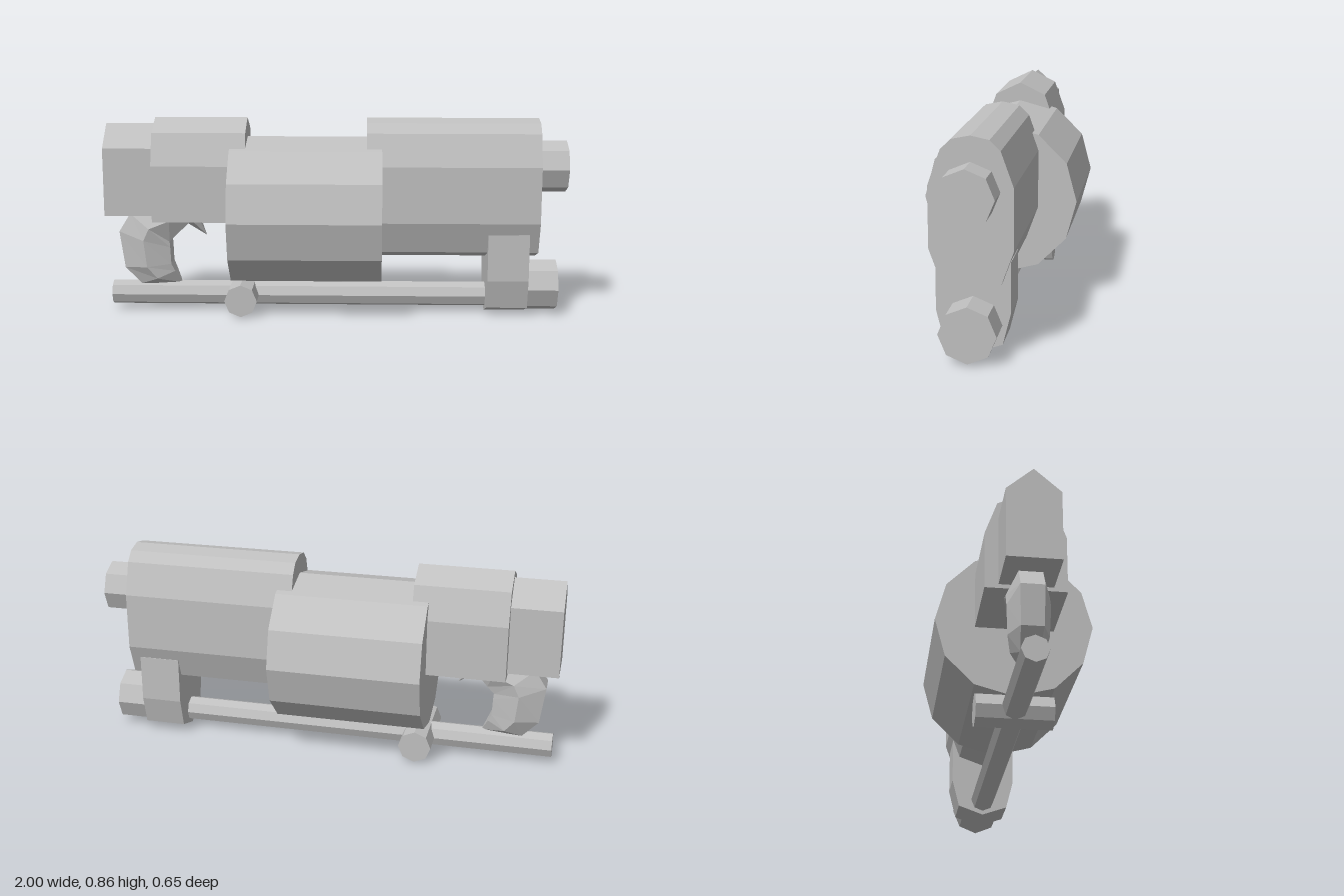
import * as THREE from 'three';

export function createModel() {
  const group = new THREE.Group();
  const grey = new THREE.MeshStandardMaterial({ color: 0xc0c0c0, flatShading: true });
  grey.name = 'grey metal';

  const add = (name, geometry, x = 0, y = 0, z = 0) => {
    const mesh = new THREE.Mesh(geometry, grey);
    mesh.name = name;
    mesh.position.set(x, y, z);
    group.add(mesh);
  };

  // Faceted rod lying along x
  const rod = (name, x0, x1, y, r, sides) =>
    add(name, new THREE.CylinderGeometry(r, r, x1 - x0, sides).rotateZ(Math.PI / 2), (x0 + x1) / 2, y);

  // Prism along x from a half profile of [z, y], listed top to bottom and mirrored
  const prism = (name, x0, x1, half) => {
    const mirrored = half.filter(p => p[0] > 0).map(([z, y]) => [-z, y]).reverse();
    const shape = new THREE.Shape([...half, ...mirrored].map(p => new THREE.Vector2(...p)));
    const g = new THREE.ExtrudeGeometry(shape, { depth: x1 - x0, bevelEnabled: false });
    add(name, g.rotateY(Math.PI / 2), x0);
  };

  // Main body
  rod('drum', -0.45, 0.2, 0.452, 0.325, 12);
  prism('barrelHousing', 0.135, 0.877,
    [[0, 0.86], [0.072, 0.845], [0.113, 0.805], [0.162, 0.668], [0.162, 0.425], [0.113, 0.29], [0, 0.25]]);
  prism('rearHousing', -0.785, -0.383,
    [[0, 0.86], [0.113, 0.805], [0.162, 0.668], [0.162, 0.425]]);
  prism('rearBlock', -1, -0.78, [[0, 0.832], [0.108, 0.736], [0.108, 0.442]]);

  // Muzzles and the bracket joining them
  rod('upperMuzzle', 0.87, 1, 0.65, 0.112, 8);
  rod('lowerMuzzle', 0.83, 0.97, 0.121, 0.112, 8);
  prism('bracket', 0.658, 0.835, [[0.145, 0.372], [0.145, 0.17], [0.113, 0.043], [0, 0.003]]);

  // Long rod with its cross handle
  rod('lowerRod', -0.99, 0.67, 0.076, 0.054, 8);
  add('crossHandle', new THREE.CylinderGeometry(0.071, 0.071, 0.316, 8).rotateX(Math.PI / 2), -0.41, 0.076);

  // Curved grip: outer x, outer y, inner x, inner y, half width
  const stations = [
    [-0.57, 0.337, -0.57, 0.337, 0],
    [-0.607, 0.43, -0.65, 0.396, 0.06],
    [-0.75, 0.48, -0.7, 0.345, 0.08],
    [-0.9, 0.44, -0.73, 0.315, 0.085],
    [-0.95, 0.36, -0.728, 0.29, 0.085],
    [-0.928, 0.198, -0.725, 0.214, 0.08],
    [-0.858, 0.123, -0.71, 0.18, 0.065],
    [-0.68, 0.118, -0.68, 0.118, 0],
  ];
  const rings = stations.map(([ox, oy, ix, iy, w]) => {
    const mx = (ox + ix) / 2, my = (oy + iy) / 2, n = w * 0.55;
    return [[ox, oy, -n], [ox, oy, n], [mx, my, w], [ix, iy, n], [ix, iy, -n], [mx, my, -w]];
  });
  const pos = [];
  for (let i = 0; i < rings.length - 1; i++) {
    for (let j = 0; j < 6; j++) {
      const k = (j + 1) % 6;
      const a = rings[i][j], b = rings[i + 1][j], c = rings[i + 1][k], d = rings[i][k];
      if (i > 0) pos.push(...a, ...c, ...d);
      if (i < rings.length - 2) pos.push(...a, ...b, ...c);
      else continue;
      if (i === 0) continue;
    }
  }
  const grip = new THREE.BufferGeometry();
  grip.setAttribute('position', new THREE.Float32BufferAttribute(pos, 3));
  grip.computeVertexNormals();
  add('curvedGrip', grip);

  return group;
}
